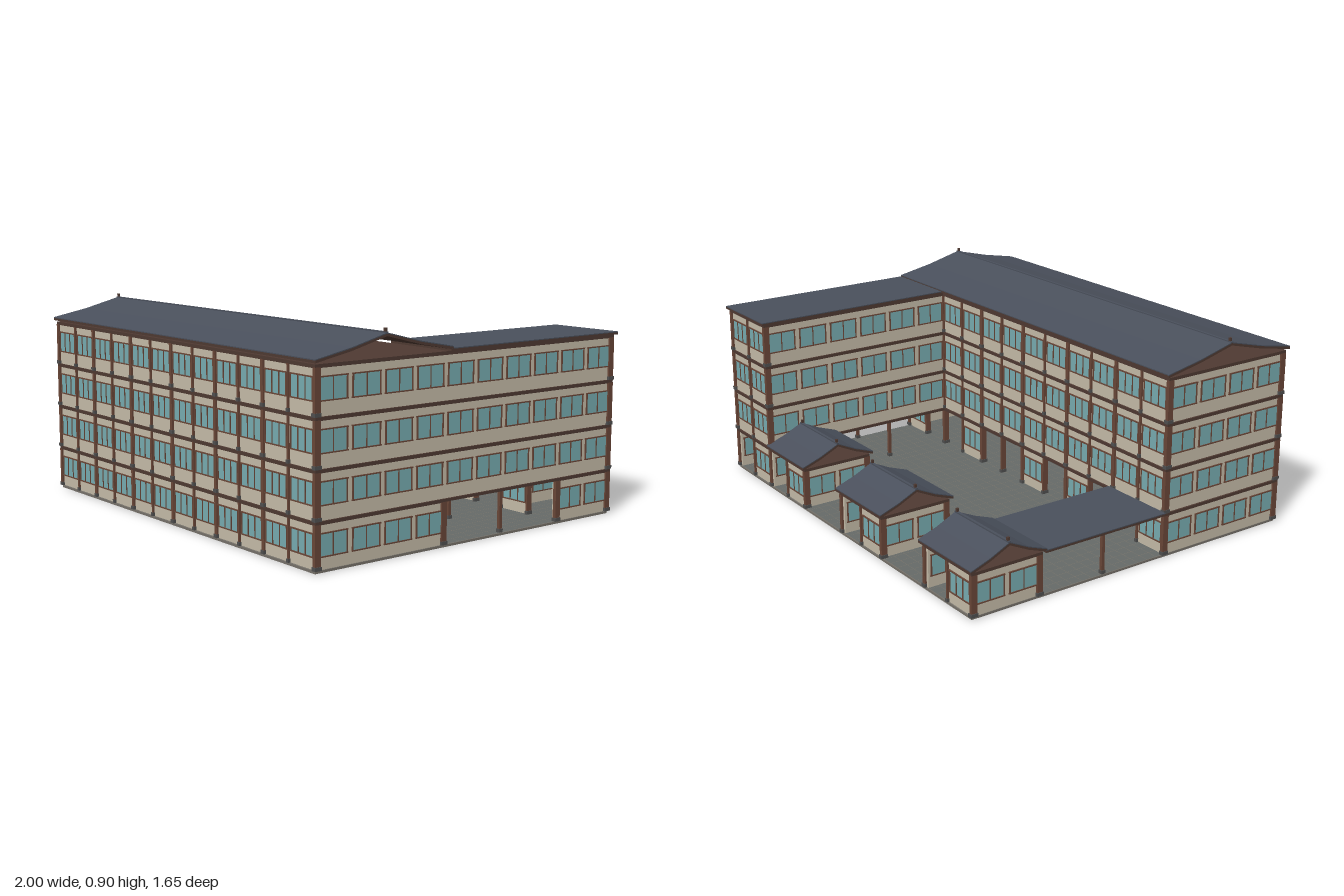
import * as THREE from 'three';
import { mergeGeometries } from 'three/addons/utils/BufferGeometryUtils.js';

const mat = (name, color) => {
  const m = new THREE.MeshStandardMaterial({ color });
  m.name = name;
  return m;
};
const M = {
  wall: mat('beige wall', 0xc6bda9),
  frame: mat('brown timber', 0x6a4738),
  trim: mat('dark timber', 0x4f3a32),
  glass: mat('teal glass', 0x78adb2),
  roof: mat('slate roof', 0x4a505c),
  paving: mat('grey paving', 0x666a68),
  slab: mat('stone slab', 0x77726a),
  stone: mat('dark stone', 0x505050),
};

const STOREY = 0.197, BAY = 0.1633, SIDE_BAY = 0.1615;
const XO = 0.98, XI = 0.653, ZF = 0.808, ZM = 0.162, ZG = -0.485, ZB = -0.808;

// Collects geometries by material and merges them into named meshes
class Part {
  constructor(name) { this.name = name; this.buckets = {}; }
  add(kind, geo) {
    const g = geo.index ? geo.toNonIndexed() : geo;
    (this.buckets[kind] ??= []).push(g);
  }
  // Box from min/max corners, optionally moved by a matrix
  box(kind, x0, x1, y0, y1, z0, z1, m) {
    const g = new THREE.BoxGeometry(x1 - x0, y1 - y0, z1 - z0);
    g.translate((x0 + x1) / 2, (y0 + y1) / 2, (z0 + z1) / 2);
    if (m) g.applyMatrix4(m);
    this.add(kind, g);
  }
  build() {
    const group = new THREE.Group();
    group.name = this.name;
    for (const [kind, list] of Object.entries(this.buckets)) {
      const mesh = new THREE.Mesh(mergeGeometries(list), M[kind]);
      mesh.name = `${this.name} ${M[kind].name}`;
      group.add(mesh);
    }
    return group;
  }
}

// One framed window, local x to the right and +z outward
function windowUnit(p, x0, x1, y0, y1, panes, m) {
  const t = 0.005;
  p.box('glass', x0, x1, y0, y1, -0.022, 0.002, m);
  for (const y of [y0, y1]) p.box('frame', x0 - t, x1 + t, y - t / 2, y + t / 2, -0.024, 0.006, m);
  for (let i = 0; i <= panes; i++) {
    const x = x0 + (x1 - x0) * i / panes, h = i % panes ? 0.002 : 0.0028;
    p.box('frame', x - h, x + h, y0, y1, -0.024, 0.005, m);
  }
}

// A row of bays for one storey: w = wall with window, o = open bay
function facade(p, x, z, turn, bay, pattern, storey, columns) {
  const m = new THREE.Matrix4().makeRotationY(turn * Math.PI / 2).setPosition(x, 0, z);
  const y = storey * STOREY, base = y + (storey ? 0.003 : 0.012), top = y + 0.188;
  [...pattern].forEach((c, i) => {
    const a = i * bay, b = a + bay;
    if (c === 'o') return;
    p.box('wall', a, b, base, top, -0.02, 0, m);
    windowUnit(p, a + 0.014, b - 0.014, y + 0.062, y + 0.152, columns ? 3 : 2, m);
  });
  p.box('trim', 0, pattern.length * bay, top - 0.003, top, -0.02, 0.005, m);
  if (!columns) return;
  for (let i = 0; i <= pattern.length; i++) {
    const h = i % 2 ? 0.004 : 0.008, c = i * bay;
    p.box('frame', c - h, c + h, base, top, -0.018, 0.009, m);
    p.box('stone', c - h - 0.003, c + h + 0.003, base, base + 0.015, -0.02, 0.012, m);
  }
}

// Thin floor plate that also forms the string course
function floorPlate(p, x0, x1, z0, z1, storey) {
  const y = (storey + 1) * STOREY, o = 0.008;
  p.box('trim', x0 - o, x1 + o, y - 0.009, y + 0.003, z0 - o, z1 + o);
}

// Sagging gable roof: timber layer below, slate above, ridge and finials
function gableRoof(p, x0, x1, z0, z1, eave, rise) {
  const zr = (z0 + z1) / 2;
  const line = [[z0, 0], [(z0 + zr) / 2, 0.43], [zr, 1], [(z1 + zr) / 2, 0.43], [z1, 0]];
  const layer = (kind, lo, hi) => {
    const pts = [
      ...line.map(([z, k]) => new THREE.Vector2(-z, eave + rise * k + lo)),
      ...[...line].reverse().map(([z, k]) => new THREE.Vector2(-z, eave + rise * k + hi)),
    ];
    const g = new THREE.ExtrudeGeometry(new THREE.Shape(pts), { depth: x1 - x0, bevelEnabled: false });
    g.rotateY(Math.PI / 2).translate(x0, 0, 0);
    p.add(kind, g);
  };
  layer('trim', -0.008, 0.002);
  layer('roof', 0.002, 0.006);
  const top = eave + rise;
  p.box('roof', x0, x1, top, top + 0.009, zr - 0.006, zr + 0.006);
  for (const x of [x0 + 0.012, x1 - 0.012])
    p.box('trim', x - 0.005, x + 0.005, top, top + 0.023, zr - 0.005, zr + 0.005);
}

function flatRoof(p, x0, x1, z0, z1, y) {
  p.box('trim', x0, x1, y, y + 0.009, z0, z1);
  p.box('roof', x0, x1, y + 0.009, y + 0.013, z0, z1);
}

function post(p, x, z) {
  p.box('frame', x - 0.007, x + 0.007, 0.012, 0.19, z - 0.007, z + 0.007);
  p.box('stone', x - 0.01, x + 0.01, 0.012, 0.027, z - 0.01, z + 0.01);
}

// Ground floor of a two-bay gatehouse
function gatehouse(p, x0) {
  const x1 = x0 + 2 * BAY;
  facade(p, x1, ZB, 2, BAY, 'ow', 0, true);
  facade(p, x0, ZG, 0, BAY, 'wo', 0, true);
  facade(p, x1, ZG, 1, SIDE_BAY, 'ww', 0, false);
  facade(p, x0, ZB, -1, SIDE_BAY, 'ww', 0, false);
  floorPlate(p, x0, x1, ZB, ZG, 0);
}

export function createModel() {
  const model = new THREE.Group();
  model.name = 'courtyardBuilding';

  // Ground slab and paving tiles
  const ground = new Part('ground');
  ground.box('slab', -XO, XO, 0, 0.01, -0.812, 0.812);
  const nx = 40, nz = 33, tx = 2 * XO / nx, tz = 1.62 / nz;
  for (let i = 0; i < nx; i++) for (let j = 0; j < nz; j++) {
    const tile = new THREE.PlaneGeometry(tx - 0.002, tz - 0.002).rotateX(-Math.PI / 2);
    tile.translate(-XO + (i + 0.5) * tx, 0.012, -0.81 + (j + 0.5) * tz);
    ground.add('paving', tile);
  }
  model.add(ground.build());

  // Front wing, four storeys under a gable roof
  const front = new Part('frontWing');
  for (let s = 0; s < 4; s++) {
    facade(front, -XO, ZF, 0, BAY, 'w'.repeat(12), s, true);
    facade(front, XO, ZF, 1, SIDE_BAY, 'wwww', s, false);
    facade(front, -XO, ZM, -1, SIDE_BAY, 'wwww', s, false);
    if (s) facade(front, XI, ZM, 2, BAY, 'w'.repeat(10), s, true);
    else facade(front, XO, ZM, 2, BAY, 'woowoowowoow', s, true);
    floorPlate(front, -XO, XO, ZM, ZF, s);
  }
  gableRoof(front, -1, 1, 0.137, 0.825, 0.805, 0.076);
  model.add(front.build());

  // Side wing, four storeys with a passage at ground level
  const wing = new Part('leftWing');
  gatehouse(wing, XI);
  for (let s = 1; s < 4; s++) {
    facade(wing, XO, ZM, 1, SIDE_BAY, 'wwwwww', s, false);
    facade(wing, XI, ZB, -1, SIDE_BAY, 'wwwwww', s, false);
    facade(wing, XO, ZB, 2, BAY, 'ww', s, true);
    floorPlate(wing, XI, XO, ZB, ZM, s);
  }
  floorPlate(wing, XI, XO, ZG, ZM, 0);
  for (const x of [XI + 0.01, XO - 0.01]) post(wing, x, -0.16);
  flatRoof(wing, 0.635, 1, -0.828, 0.15, 0.791);
  model.add(wing.build());

  // Low covered walk on the other side
  const walk = new Part('coveredWalk');
  flatRoof(walk, -1, -0.635, -0.47, 0.15, 0.196);
  for (const x of [-XI - 0.01, -XO + 0.01]) post(walk, x, -0.16);
  model.add(walk.build());

  // Three gatehouses along the back
  [['rightGatehouse', -XO], ['middleGatehouse', -2 * BAY], ['leftGatehouse', 2 * BAY]].forEach(([name, x0]) => {
    const hut = new Part(name);
    gatehouse(hut, x0);
    gableRoof(hut, x0 - 0.02, Math.min(x0 + 2 * BAY + 0.02, x0 > 0 ? 0.65 : 1), -0.828, -0.465, 0.209, 0.075);
    model.add(hut.build());
  });

  return model;
}
